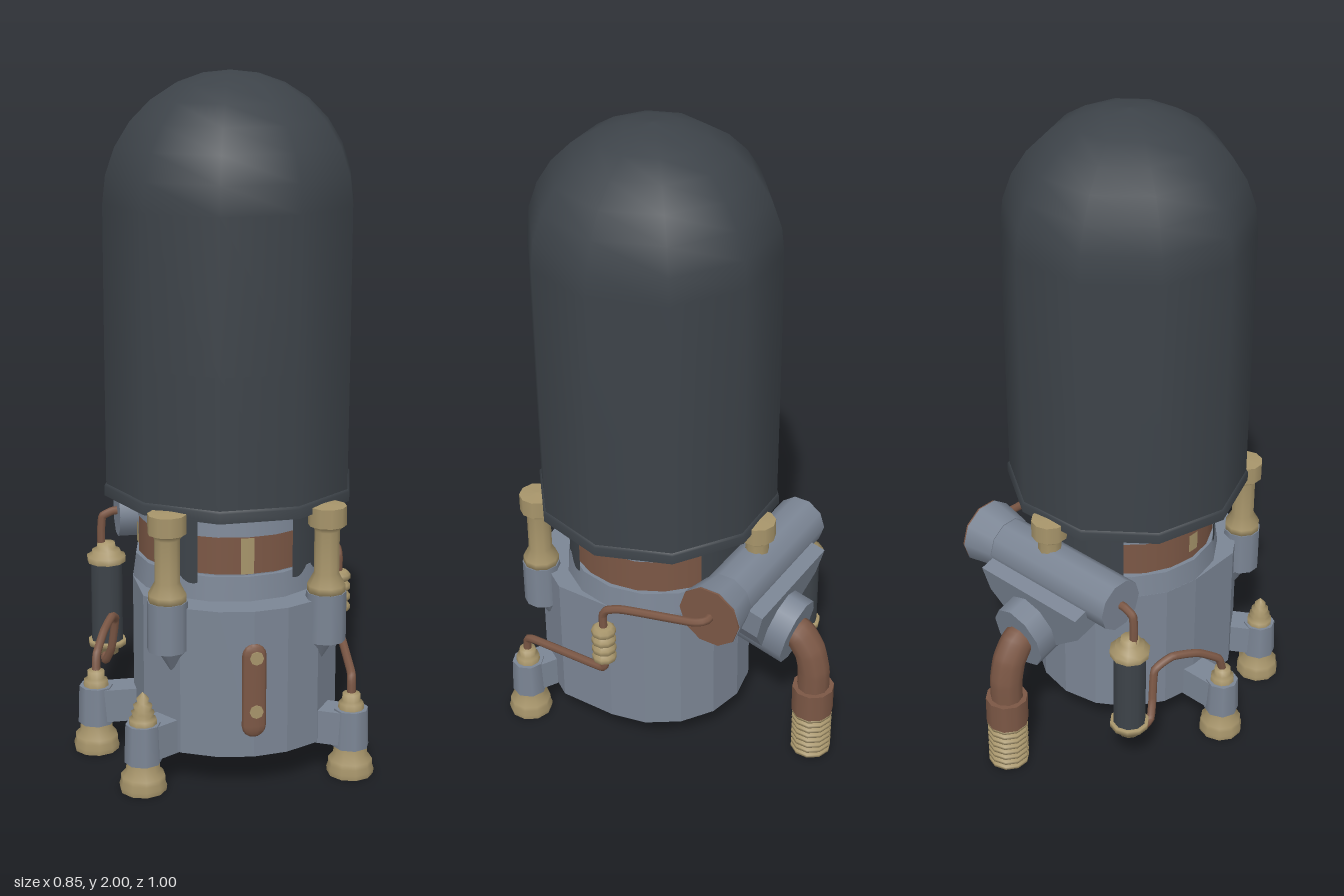
import * as THREE from 'three';

const mat = (name, color, side = THREE.FrontSide) => {
  const m = new THREE.MeshStandardMaterial({ color, side });
  m.name = name;
  return m;
};

export function createModel() {
  const root = new THREE.Group();
  const charcoal = mat('charcoal', 0x3d4349);
  const steel = mat('steelBlue', 0x7b8594);
  const copper = mat('copper', 0x7b5745);
  const brass = mat('brass', 0xa6946a);
  const CX = 0.043, CZ = 0.118; // main vertical axis
  const V = (x, y, z) => new THREE.Vector3(x, y, z);

  const add = (name, geo, material, x = 0, y = 0, z = 0, parent = root) => {
    const m = new THREE.Mesh(geo, material);
    m.name = name;
    m.position.set(x, y, z);
    parent.add(m);
    return m;
  };
  // Upright cylinder given by its bottom and top heights
  const post = (name, material, x, z, y0, y1, r0, r1 = r0, sides = 10) =>
    add(name, new THREE.CylinderGeometry(r1, r0, y1 - y0, sides), material, x, (y0 + y1) / 2, z);
  // Turned part from [radius, height] pairs, lowest first
  const turned = (name, material, x, z, pts, sides = 10) =>
    add(name, new THREE.LatheGeometry(pts.map(p => new THREE.Vector2(...p)), sides), material, x, 0, z);
  // Ribbed profile between two heights
  const ribs = (y0, y1, rOut, rIn, n) => {
    const pts = [[0, y0]], h = (y1 - y0) / n;
    for (let i = 0; i < n; i++) {
      const y = y0 + i * h;
      pts.push([rIn, y], [rOut, y + h * 0.25], [rOut, y + h * 0.7], [rIn, y + h]);
    }
    pts.push([0, y1]);
    return pts;
  };
  const wire = (name, pts, r = 0.013, sides = 7) => {
    const c = new THREE.CatmullRomCurve3(pts.map(p => V(...p)), false, 'catmullrom', 0.25);
    return add(name, new THREE.TubeGeometry(c, 40, r, sides), copper);
  };
  // Horizontal plan outline [x, z] raised from y0 to y1
  const slab = (name, pts, y0, y1) => {
    const s = new THREE.Shape(pts.map(([x, z]) => new THREE.Vector2(x, -z)));
    const g = new THREE.ExtrudeGeometry(s, { depth: y1 - y0, bevelEnabled: false });
    g.rotateX(-Math.PI / 2);
    return add(name, g, steel, 0, y0, 0);
  };

  // Tall domed cover with a small rim
  const R = 0.367, domeY = 1.635;
  const prof = [[0, 0.79], [0.372, 0.79], [0.372, 0.79], [0.372, 0.818], [0.366, 0.825], [0.366, 0.825], [R, 1.2]];
  for (let i = 0; i <= 7; i++) {
    const a = (i / 7) * Math.PI / 2;
    prof.push([R * Math.cos(a), domeY + (2 - domeY) * Math.sin(a)]);
  }
  turned('domeCover', charcoal, CX, CZ, prof).rotation.y = THREE.MathUtils.degToRad(20.7);
  post('coverSpindle', charcoal, CX, CZ, 0.76, 0.8, 0.075);

  // Body: round at the back, drawn forward at the front
  const plan = [];
  for (let i = 0; i <= 8; i++) {
    const a = Math.PI / 2 + (i / 8) * Math.PI;
    plan.push([CX + 0.288 * Math.sin(a), CZ + 0.288 * Math.cos(a)]);
  }
  plan.push([CX - 0.285, 0.3], [CX - 0.2, 0.425], [CX - 0.1, 0.475], [CX, 0.49], [CX + 0.1, 0.475], [CX + 0.2, 0.425], [CX + 0.285, 0.3]);
  slab('body', plan, 0.1, 0.535);
  post('bodyShoulder', steel, CX, CZ, 0.53, 0.605, 0.288, 0.278, 16);

  // Neck with coloured band
  post('neck', steel, CX, CZ, 0.59, 0.765, 0.262, 0.262, 20);
  post('neckLip', steel, CX, CZ, 0.72, 0.777, 0.272, 0.265, 20);
  const sleeve = (name, material, r, y0, y1, a0, a1) =>
    add(name, new THREE.CylinderGeometry(r, r, y1 - y0, 20, 1, true,
      THREE.MathUtils.degToRad(a0), THREE.MathUtils.degToRad(a1 - a0)), material, CX, (y0 + y1) / 2, CZ);
  sleeve('neckBand', copper, 0.269, 0.61, 0.72, 0, 360);
  sleeve('bandMarkFront', brass, 0.273, 0.612, 0.718, -4, 4);
  sleeve('bandMarkSide', brass, 0.273, 0.64, 0.7, 266, 274);
  for (const [a0, a1] of [[30, 62], [-62, -30], [150, 220]])
    sleeve('darkNeckPanel', charcoal, 0.276, 0.58, 0.77, a0, a1);

  // Front sight strip with two studs
  const strip = new THREE.CapsuleGeometry(0.035, 0.21, 4, 10);
  strip.scale(1, 1, 0.35);
  add('sightStrip', strip, copper, CX, 0.3, 0.488);
  for (const y of [0.24, 0.4]) {
    const stud = new THREE.CylinderGeometry(0.02, 0.02, 0.02, 8).rotateX(Math.PI / 2);
    add('sightStud', stud, brass, CX + 0.005, y, 0.493);
  }

  // Tall bolts and their bosses
  const boltProfile = [[0, 0.55], [0.055, 0.55], [0.055, 0.575], [0.036, 0.61], [0.036, 0.735],
    [0.045, 0.75], [0.055, 0.752], [0.055, 0.752], [0.055, 0.808], [0.055, 0.808], [0, 0.812]];
  for (const [x, z] of [[-0.19, 0.408], [0.268, 0.408], [0.04, -0.23]]) {
    turned('coverBolt', brass, x, z, boltProfile);
    if (z > 0) {
      post('boltBoss', steel, x, z, 0.41, 0.555, 0.058);
      post('bossFillet', steel, x + (x < 0 ? 0.02 : -0.02), z - 0.02, 0.34, 0.412, 0.01, 0.055);
    }
  }

  // Feet on short arms
  const feet = [[-0.265, 0.427], [0.343, 0.427], [-0.36, 0.122]];
  feet.forEach(([x, z], i) => {
    turned('footPad', brass, x, z, [[0, 0], [0.067, 0], [0.067, 0], [0.069, 0.015], [0.064, 0.03],
      [0.064, 0.045], [0.05, 0.06], [0.046, 0.095]]);
    post('footSocket', steel, x, z, 0.085, 0.2, 0.054, 0.05, 8);
    const tx = CX * 0.5, tz = i === 2 ? z : 0.25;
    const len = i === 2 ? 0.2 : 0.22, ang = Math.atan2(tx - x, tz - z);
    const arm = add('footArm', new THREE.BoxGeometry(0.085, 0.1, len), steel,
      x + Math.sin(ang) * len / 2, 0.145, z + Math.cos(ang) * len / 2);
    arm.rotation.y = ang;
    if (i === 0)
      turned('ridgedNipple', brass, x, z, [[0.04, 0.198], [0.04, 0.215], [0.028, 0.22], [0.034, 0.235],
        [0.024, 0.24], [0.028, 0.255], [0.016, 0.262], [0.018, 0.275], [0, 0.295]]);
    else
      turned('footCap', brass, x, z, [[0.038, 0.198], [0.036, 0.218], [0.026, 0.223], [0.026, 0.245], [0, 0.25]]);
  });

  // Cross cylinder at the back with a flared, capped end
  const TZ = -0.228, TY = 0.632;
  const across = (name, material, x0, x1, r0, r1) => {
    const g = new THREE.CylinderGeometry(r1, r0, x1 - x0, 10).rotateZ(-Math.PI / 2);
    return add(name, g, material, (x0 + x1) / 2, TY, TZ);
  };
  across('crossCylinder', steel, -0.245, 0.25, 0.081, 0.081);
  across('crossCylinderFlare', steel, 0.215, 0.312, 0.084, 0.102);
  across('crossCylinderCap', copper, 0.311, 0.318, 0.1, 0.1);

  // Tilted outlet port and its saddle
  const port = new THREE.Group();
  port.name = 'outletPort';
  port.position.set(0.04, 0.442, -0.375);
  port.rotation.x = -0.25;
  root.add(port);
  const saddle = new THREE.Shape([[-0.215, 0.15], [0.175, 0.15], [0.165, 0.06], [0.09, -0.04], [-0.09, -0.04], [-0.205, 0.06]]
    .map(p => new THREE.Vector2(...p)));
  add('portSaddle', new THREE.ExtrudeGeometry(saddle, { depth: 0.13, bevelEnabled: false }), steel, 0, 0, 0.065, port);
  const portGeo = new THREE.CylinderGeometry(0.093, 0.093, 0.22, 10).rotateX(Math.PI / 2);
  portGeo.scale(1, 1.25, 1);
  add('portBarrel', portGeo, steel, 0, 0, 0.11, port);

  // Outlet pipe, collar and thread
  wire('outletPipe', [[0.036, 0.45, -0.33], [0.036, 0.435, -0.385], [0.036, 0.385, -0.42], [0.036, 0.32, -0.435], [0.036, 0.24, -0.436]], 0.05, 10);
  post('pipeCollar', copper, 0.036, -0.436, 0.16, 0.255, 0.065);
  turned('pipeThread', brass, 0.036, -0.436, ribs(0, 0.165, 0.063, 0.05, 8));

  // Hanging canister on the other side
  const KX = -0.28, KZ = -0.225;
  post('canister', charcoal, KX, KZ, 0.2, 0.475, 0.05);
  turned('canisterBase', brass, KX, KZ, [[0, 0.165], [0.035, 0.165], [0.035, 0.19], [0.06, 0.193], [0.06, 0.21], [0, 0.212]]);
  turned('canisterTop', brass, KX, KZ, [[0.06, 0.468], [0.062, 0.488], [0.045, 0.494], [0.045, 0.506],
    [0.03, 0.512], [0.028, 0.53], [0, 0.535]]);

  // Wires
  turned('insulator', brass, 0.385, 0.1, ribs(0.375, 0.505, 0.037, 0.026, 4));
  wire('upperSideWire', [[0.3, 0.632, -0.23], [0.335, 0.63, -0.228], [0.352, 0.622, -0.19], [0.375, 0.59, 0.03],
    [0.384, 0.572, 0.085], [0.385, 0.55, 0.1], [0.385, 0.5, 0.1]]);
  wire('lowerSideWire', [[0.385, 0.38, 0.1], [0.385, 0.35, 0.1], [0.382, 0.335, 0.125], [0.35, 0.3, 0.39],
    [0.344, 0.285, 0.422], [0.343, 0.24, 0.427]]);
  wire('canisterWire', [[KX - 0.015, 0.52, KZ], [KX - 0.015, 0.57, KZ], [KX - 0.01, 0.615, KZ], [-0.26, 0.63, KZ], [-0.235, 0.632, KZ]]);
  wire('footWire', [[-0.36, 0.24, 0.122], [-0.355, 0.29, 0.105], [-0.325, 0.335, 0.04], [-0.29, 0.35, -0.04],
    [-0.27, 0.32, -0.1], [-0.28, 0.22, -0.12], [-0.295, 0.17, -0.145], [-0.295, 0.16, -0.18], [-0.285, 0.175, -0.22]]);

  return root;
}
